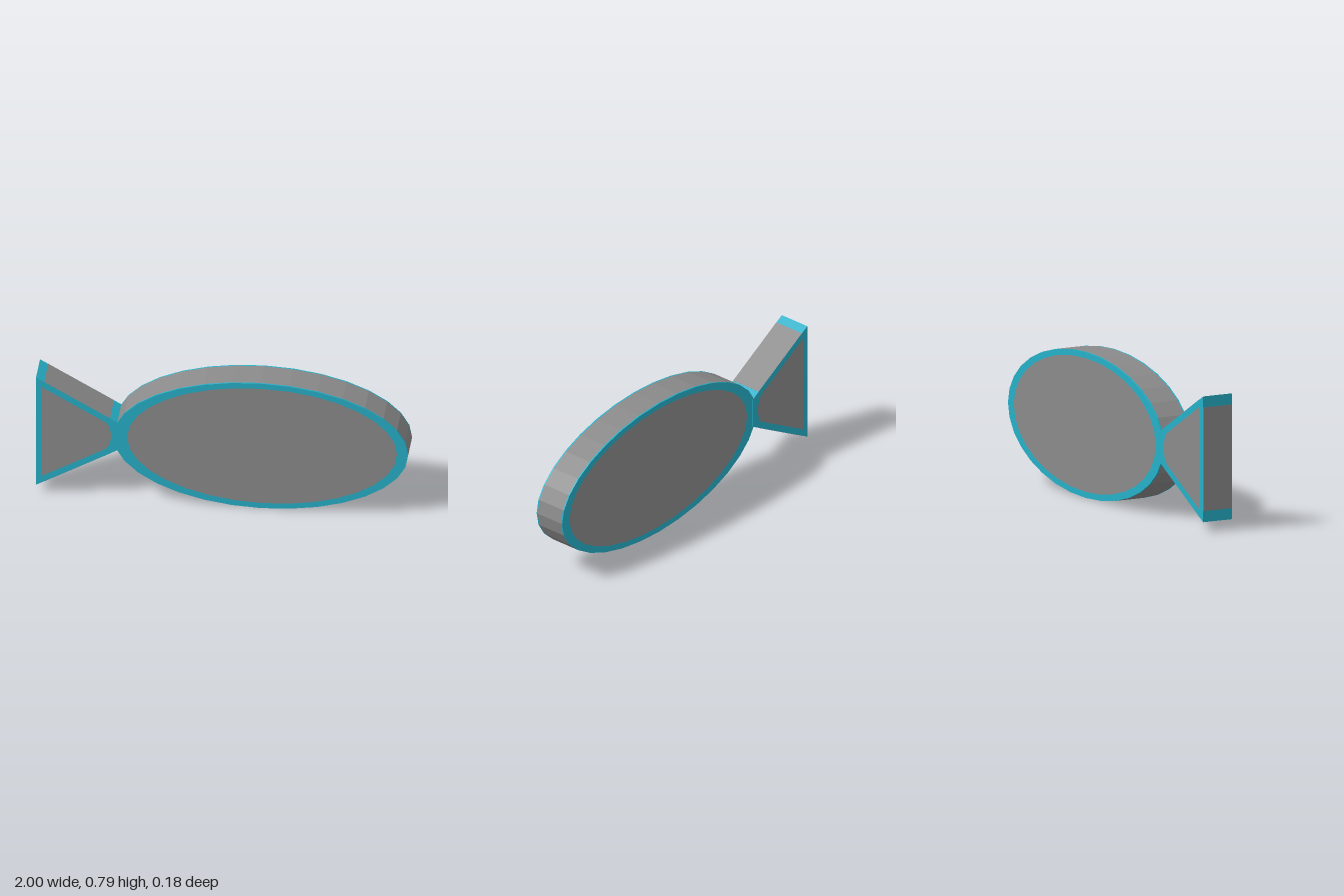
import * as THREE from 'three';

const teal = new THREE.MeshStandardMaterial({ color: 0x26b0c8 });
teal.name = 'teal';
const grey = new THREE.MeshStandardMaterial({ color: 0x8a8a8a });
grey.name = 'grey';

const CY = 0.3955; // height of the centre line

// 32-sided ellipse outline
function ellipse(cx, rx, ry) {
  const pts = [];
  for (let i = 0; i < 32; i++) {
    const a = (i / 32) * Math.PI * 2;
    pts.push(new THREE.Vector2(cx + rx * Math.cos(a), CY + ry * Math.sin(a)));
  }
  return pts;
}

// Outline symmetric about the centre line, from its lower half (x, half height)
function mirrored(half) {
  const lower = half.map(([x, h]) => new THREE.Vector2(x, CY - h));
  const upper = half.map(([x, h]) => new THREE.Vector2(x, CY + h)).reverse();
  return [...lower, ...upper];
}

// Flat slab between two depths, optionally with a hole
function slab(name, material, outline, z0, z1, hole) {
  const shape = new THREE.Shape(outline);
  if (hole) shape.holes.push(new THREE.Path(hole));
  const geo = new THREE.ExtrudeGeometry(shape, { depth: z1 - z0, bevelEnabled: false });
  geo.translate(0, 0, z0);
  const mesh = new THREE.Mesh(geo, material);
  mesh.name = name;
  return mesh;
}

// Thin plate lying on a side wall between two points of the outline
function wallPlate(name, a, b) {
  const dx = b[0] - a[0], dy = b[1] - a[1];
  const mesh = new THREE.Mesh(new THREE.BoxGeometry(Math.hypot(dx, dy), 0.002, 0.1796), grey);
  mesh.position.set((a[0] + b[0]) / 2, (a[1] + b[1]) / 2, 0);
  mesh.rotation.z = Math.atan2(dy, dx);
  mesh.name = name;
  return mesh;
}

export function createModel() {
  const model = new THREE.Group();
  model.name = 'fish';

  // Oval body: grey band, teal rims and grey centre panels
  const body = new THREE.Group();
  body.name = 'body';
  const outer = ellipse(0.208, 0.792, 0.3955);
  const inner = ellipse(0.215, 0.725, 0.363);
  body.add(
    slab('bodyBand', grey, outer, -0.08, 0.084),
    slab('frontRim', teal, outer, 0.084, 0.092, inner),
    slab('backRim', teal, outer, -0.088, -0.08, inner),
    slab('frontPanel', grey, inner, 0.084, 0.092),
    slab('backPanel', grey, inner, -0.088, -0.08)
  );

  // Flared tail: teal frame around a grey panel
  const tail = new THREE.Group();
  tail.name = 'tail';
  const frame = mirrored([[-0.999, 0.341], [-0.555, 0.084]]);
  const panel = mirrored([[-0.966, 0.281], [-0.625, 0.084], [-0.607, 0.06], [-0.597, 0.02]]);
  tail.add(
    slab('tailFrame', teal, frame, -0.09, 0.09, panel),
    slab('tailPanel', grey, panel, -0.09, 0.09),
    wallPlate('tailEndPlate', [-0.999, CY - 0.281], [-0.999, CY + 0.281])
  );
  for (const s of [1, -1]) {
    const edge = x => [x, CY + s * (0.341 - (x + 0.999) * 0.579)];
    tail.add(wallPlate(s > 0 ? 'tailTopPlate' : 'tailBottomPlate', edge(-0.955), edge(-0.602)));
  }

  model.add(body, tail);
  return model;
}
